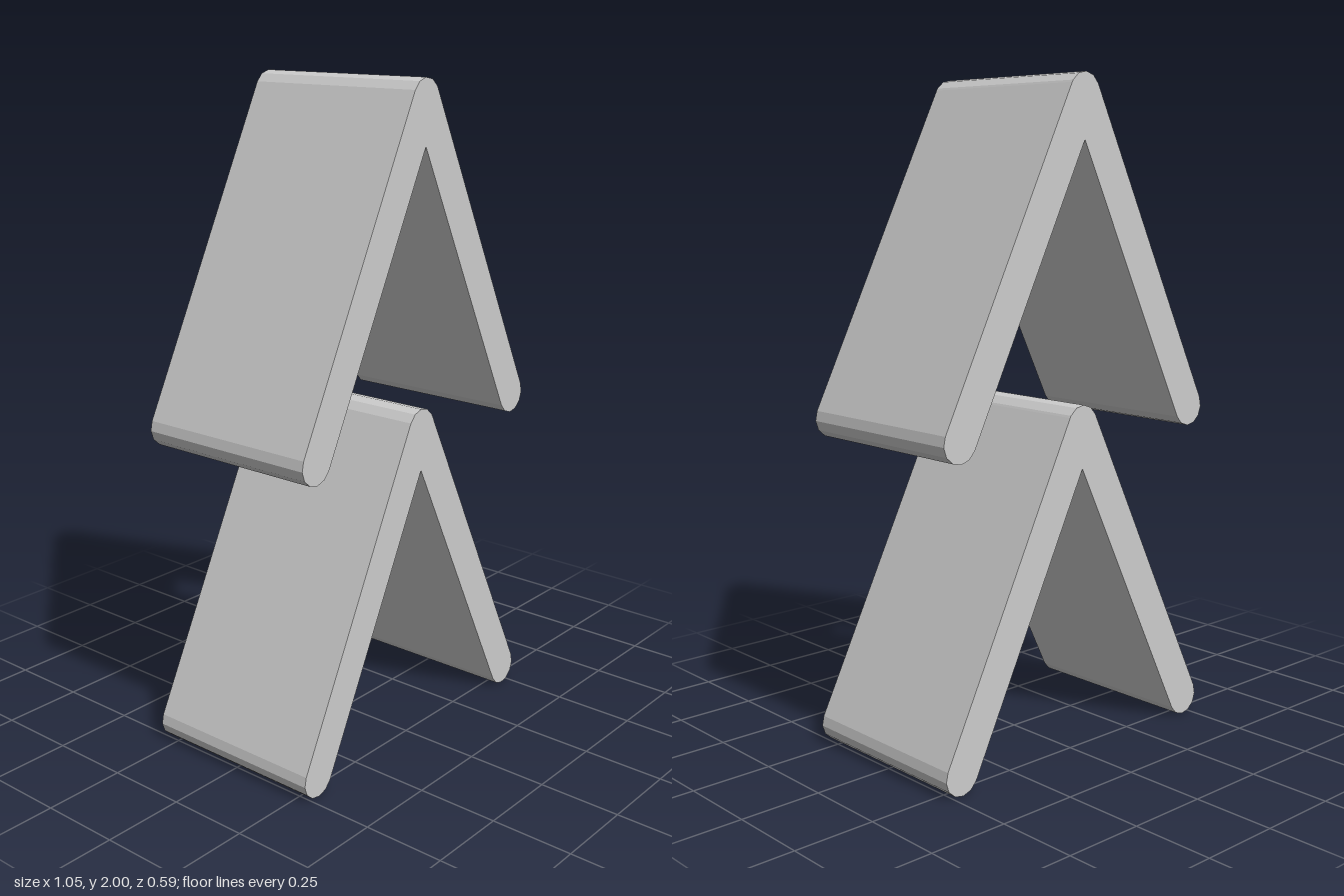
import * as THREE from 'three';

const R = 0.058;              // half thickness of the arms
const DEPTH = 0.586;
const APEX = [0, 1.942];      // centre of the rounded ridge
const FOOT = [0.468, 1.002];  // centre of the rounded foot (mirrored in x)
const SPACING = 0.943;        // vertical step between the chevrons
const EDGE = Math.atan2(FOOT[0], APEX[1] - FOOT[1]); // angle of the outer normal
const STEP = Math.PI / 6;     // twelve-sided roundings

const onCircle = ([x, y], a) => new THREE.Vector2(x + R * Math.cos(a), y + R * Math.sin(a));

// Closed outline: ridge, left foot, inner corner, right foot
function chevronShape() {
  const points = [onCircle(APEX, EDGE)];
  for (let i = 4; i >= 0; i--) points.push(onCircle(APEX, Math.PI - EDGE - i * STEP));
  const rightFoot = [];
  for (let i = 0; i <= 6; i++) rightFoot.push(onCircle(FOOT, EDGE - i * STEP));
  points.push(...rightFoot.map((p) => new THREE.Vector2(-p.x, p.y)));
  points.push(new THREE.Vector2(0, APEX[1] - R / Math.sin(EDGE)));
  points.push(...rightFoot.reverse());
  return new THREE.Shape(points);
}

export function createModel() {
  const model = new THREE.Group();
  model.name = 'doubleChevron';
  const grey = new THREE.MeshStandardMaterial({ color: 0xcccccc });
  grey.name = 'light grey';

  const geometry = new THREE.ExtrudeGeometry(chevronShape(), { depth: DEPTH, bevelEnabled: false });
  geometry.translate(0, 0, -DEPTH / 2);

  // Two identical chevrons, one above the other
  ['upperChevron', 'lowerChevron'].forEach((name, i) => {
    const chevron = new THREE.Mesh(geometry, grey);
    chevron.name = name;
    chevron.position.y = -i * SPACING;
    model.add(chevron);
  });
  return model;
}
